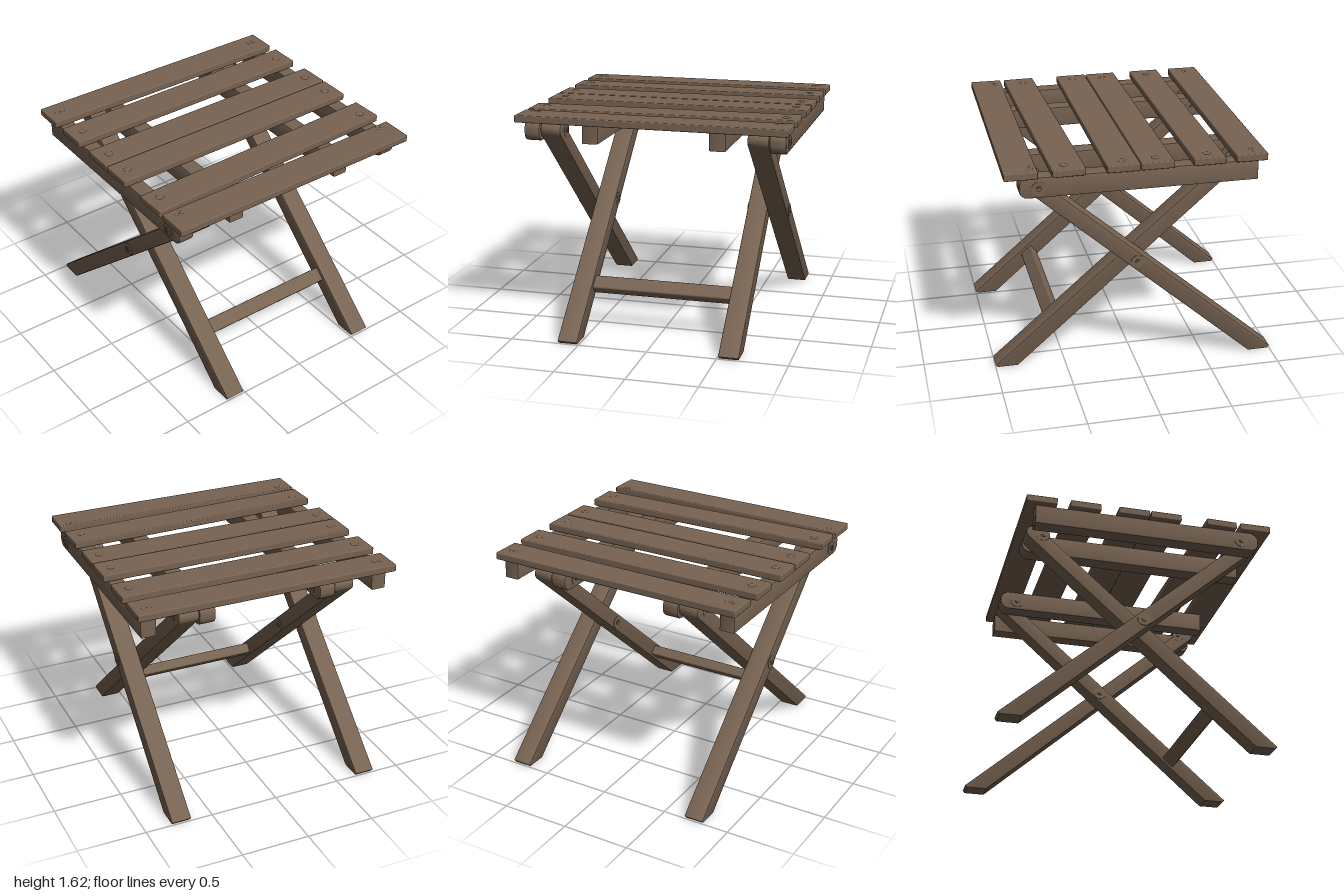
import * as THREE from 'three';
import { toCreasedNormals } from 'three/addons/utils/BufferGeometryUtils.js';
import { RoundedBoxGeometry } from 'three/addons/geometries/RoundedBoxGeometry.js';

const wood = new THREE.MeshStandardMaterial({ color: 0x776352 });
wood.name = 'brown wood';

function add(parent, name, geometry, x = 0, y = 0, z = 0) {
  const mesh = new THREE.Mesh(geometry, wood);
  mesh.name = name;
  mesh.position.set(x, y, z);
  parent.add(mesh);
  return mesh;
}

// Side profile (z, y) extruded across x with softened edges, centred on x = 0
function sidePart(shape, width) {
  const b = 0.01;
  const g = new THREE.ExtrudeGeometry(shape, {
    depth: width - 2 * b, bevelEnabled: true, bevelSize: b, bevelOffset: -b,
    bevelThickness: b, bevelSegments: 2, curveSegments: 10,
  });
  g.translate(0, 0, -(width - 2 * b) / 2);
  g.rotateY(-Math.PI / 2);
  return toCreasedNormals(g, 0.7);
}

// Slanted leg: foot at the back, rounded top at the front
function legShape() {
  const a = 0.722, h = 0.054;
  const s = new THREE.Shape();
  s.moveTo(-0.985, 0);
  s.lineTo(-0.84, 0);
  s.absarc(0.77, 1.493, h, a - Math.PI / 2, a + Math.PI / 2, false);
  s.lineTo(-1, 0.018);
  s.closePath();
  return s;
}

// Seat rail: square at the back, rounded at the front
function railShape() {
  const lo = 1.41, hi = 1.556, front = 0.83, back = -0.81, r = 0.062;
  const s = new THREE.Shape();
  s.moveTo(back, lo);
  s.lineTo(front - r, lo);
  s.absarc(front - r, lo + r, r, -Math.PI / 2, 0, false);
  s.absarc(front - r, hi - r, r, 0, Math.PI / 2, false);
  s.lineTo(back, hi);
  s.closePath();
  return s;
}

// Bolt along x with a washer and a nut on each end
function bolt(parent, name, x0, x1, y, z) {
  const group = new THREE.Group();
  group.name = name;
  group.position.set((x0 + x1) / 2, y, z);
  parent.add(group);
  const len = Math.abs(x1 - x0);
  const disc = (r, l, sides) => new THREE.CylinderGeometry(r, r, l, sides).rotateZ(Math.PI / 2);
  add(group, 'boltPin', disc(0.01, len + 0.03, 10));
  for (const e of [-1, 1]) {
    add(group, 'washer', disc(0.048, 0.006, 24), e * (len / 2 + 0.001));
    add(group, 'nut', disc(0.02, 0.012, 6), e * (len / 2 + 0.006));
  }
}

export function createModel() {
  const model = new THREE.Group();
  model.name = 'foldingStool';

  const leg = sidePart(legShape(), 0.147);
  const outerRail = sidePart(railShape(), 0.113);
  const innerRail = sidePart(railShape(), 0.118);

  // Crossed legs and rails on both sides; the inner set is turned end for end
  for (const s of [-1, 1]) {
    add(model, 'outerLeg', leg, s * 0.732);
    add(model, 'innerLeg', leg, s * 0.583).rotation.y = Math.PI;
    add(model, 'outerRail', outerRail, s * 0.866);
    add(model, 'innerRail', innerRail, s * 0.45).rotation.y = Math.PI;
    bolt(model, 'crossBolt', s * 0.51, s * 0.806, 0.815, 0);
    bolt(model, 'outerRailBolt', s * 0.66, s * 0.923, 1.48, 0.7);
    bolt(model, 'innerRailBolt', s * 0.391, s * 0.655, 1.48, -0.7);
  }

  // Rung between the inner legs
  const rung = add(model, 'rung', new RoundedBoxGeometry(1.03, 0.078, 0.106, 2, 0.012), 0, 0.315, 0.568);
  rung.rotation.x = 0.722;

  // Seat slats: [z centre, z shift from right end to left end, width, paired screws]
  const slats = [
    [-0.762, 0.018, 0.22, true],
    [-0.457, -0.004, 0.222, false],
    [-0.102, 0, 0.226, false],
    [0.132, 0, 0.226, false],
    [0.523, -0.05, 0.226, false],
    [0.811, 0.018, 0.226, true],
  ];
  const bigScrew = new THREE.SphereGeometry(0.028, 16, 6, 0, Math.PI * 2, 0, Math.PI / 2).scale(1, 0.25, 1);
  const smallScrew = new THREE.SphereGeometry(0.017, 12, 6, 0, Math.PI * 2, 0, Math.PI / 2).scale(1, 0.3, 1);
  for (const [z, shift, width, paired] of slats) {
    const slat = add(model, 'seatSlat', new RoundedBoxGeometry(1.915, 0.052, width, 2, 0.008), -0.003, 1.583, z);
    slat.rotation.y = -Math.atan(shift / 1.915);
    const screwZ = paired ? (z < 0 ? -0.771 : 0.744) : z;
    for (const s of [-1, 1]) {
      const spots = paired ? [0.843, 0.884] : [0.865];
      for (const x of spots) {
        add(model, 'screwHead', paired ? smallScrew : bigScrew, s * x, 1.608, paired ? screwZ : z);
      }
    }
  }
  return model;
}
